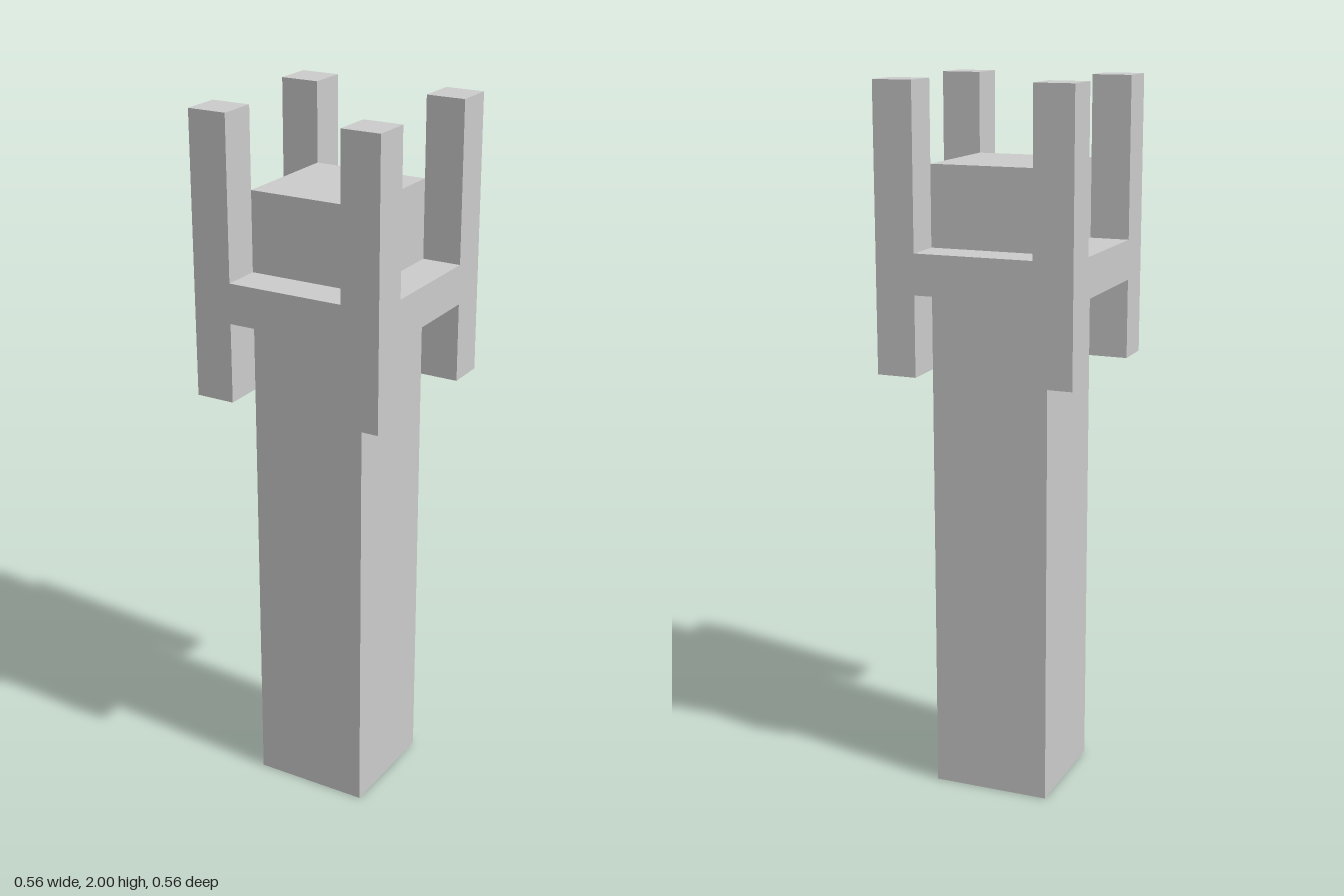
import * as THREE from 'three';

// The whole tower sits on a cubic grid: 18 cells high, 5 cells wide
const U = 2 / 18;

export function createModel() {
  const tower = new THREE.Group();
  tower.name = 'tower';
  const material = new THREE.MeshStandardMaterial({ color: 0xcccccc, flatShading: true });

  // Box sized in cells, with its base at height y
  const addBox = (name, [w, h, d], [x, y, z]) => {
    const mesh = new THREE.Mesh(new THREE.BoxGeometry(w * U, h * U, d * U), material);
    mesh.position.set(x * U, (y + h / 2) * U, z * U);
    mesh.name = name;
    tower.add(mesh);
  };

  // Square central shaft
  addBox('shaft', [3, 16, 3], [0, 0, 0]);

  // Gallery ledges on the four sides, and posts at the corners
  for (const s of [-1, 1]) {
    const side = s > 0 ? 'left' : 'right';
    const face = s > 0 ? 'front' : 'back';
    addBox(`${face}Ledge`, [3, 1, 1], [0, 13, 2 * s]);
    addBox(`${side}Ledge`, [1, 1, 3], [2 * s, 13, 0]);
    for (const t of [-1, 1]) {
      addBox(`${t > 0 ? 'front' : 'back'}${s > 0 ? 'Left' : 'Right'}Post`, [1, 7, 1], [2 * s, 11, 2 * t]);
    }
  }
  return tower;
}
